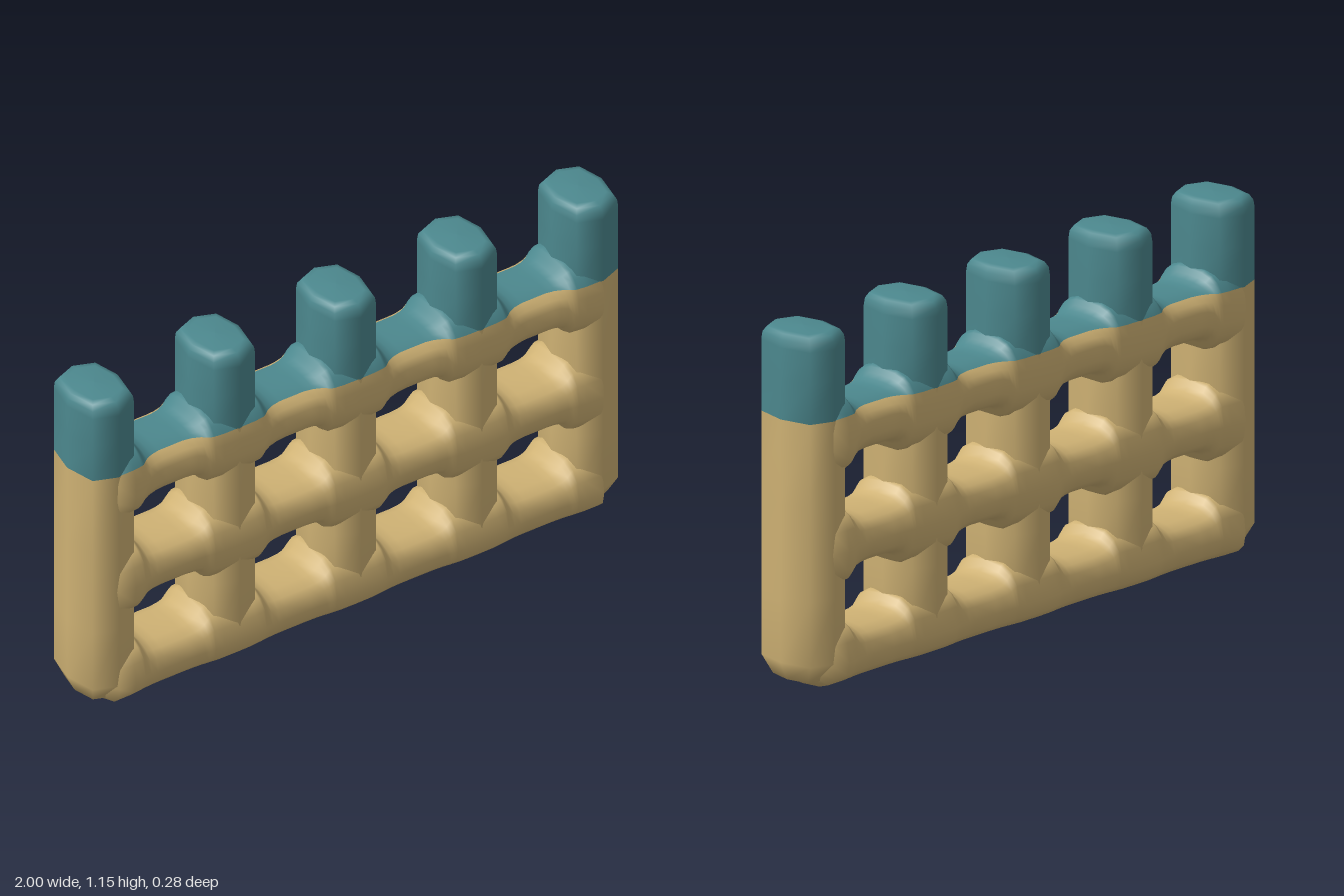
import * as THREE from 'three';

const POSTS = [-0.9, -0.45, 0, 0.45, 0.9];
const PAINT_Y = 0.87; // paint line between the two colours
const POWER = 2.7; // roundness of the squarish oval sections

const bend = (v) => Math.sign(v) * Math.pow(Math.abs(v), 2 / POWER);

// Skin a list of rings; each ring is an array of [x, y, z]
function loft(rings, closed) {
  const n = rings[0].length;
  const index = [];
  for (let i = 0; i < rings.length - 1; i++) {
    for (let j = 0; j < (closed ? n : n - 1); j++) {
      const k = (j + 1) % n;
      const a = i * n + j, b = i * n + k, c = a + n, d = b + n;
      index.push(a, c, b, b, c, d);
    }
  }
  const geo = new THREE.BufferGeometry();
  geo.setAttribute('position', new THREE.Float32BufferAttribute(rings.flat(2), 3));
  geo.setIndex(index);
  geo.computeVertexNormals();
  return geo;
}

// Upright post section from [height, scale] steps
function postGeometry(steps) {
  const sides = 8;
  return loft(steps.map(([y, s]) => Array.from({ length: sides }, (_, j) => {
    const t = (j / sides) * Math.PI * 2;
    return [0.1 * s * bend(Math.cos(t)), y, 0.133 * s * bend(Math.sin(t))];
  })), true);
}

// Stations along a rail: x, corner fillet height and half depth,
// all set by the distance from the nearest post
function railStations() {
  const half = [[0, 0.05, 0.14], [0.06, 0.05, 0.138], [0.09, 0.05, 0.134], [0.1, 0.042, 0.133],
    [0.11, 0.025, 0.131], [0.125, 0.011, 0.129], [0.15, 0.003, 0.127], [0.18, 0, 0.126]];
  const list = [{ x: -0.94, fillet: 0, depth: 0.08, end: true }];
  POSTS.forEach((px, i) => {
    if (i > 0) half.slice(1).reverse().forEach(([d, f, z]) => list.push({ x: px - d, fillet: f, depth: z }));
    list.push({ x: px, fillet: 0.05, depth: 0.139 });
    if (i < POSTS.length - 1) half.slice(1).forEach(([d, f, z]) => list.push({ x: px + d, fillet: f, depth: z }));
  });
  list.push({ x: 0.94, fillet: 0, depth: 0.08, end: true });
  return list;
}

// Rail skin over an arc; range(up) gives its start and end angle
function railGeometry(cy, flareDown, segments, closed, range) {
  return loft(railStations().map(({ x, fillet, depth, end }) => {
    const up = 0.082 + fillet;
    const down = end ? 0.06 : 0.08 + (flareDown ? fillet : 0);
    const [t0, t1] = range(up);
    return Array.from({ length: closed ? segments : segments + 1 }, (_, j) => {
      const t = t0 + (t1 - t0) * (j / segments);
      const s = bend(Math.sin(t));
      return [x, cy + (s > 0 ? up : down) * s, depth * bend(Math.cos(t))];
    });
  }), closed);
}

export function createModel() {
  const model = new THREE.Group();
  model.name = 'lattice';
  const tan = new THREE.MeshStandardMaterial({ color: 0xcfb274 });
  tan.name = 'tan';
  const teal = new THREE.MeshStandardMaterial({ color: 0x4c888e });
  teal.name = 'teal';

  const add = (name, geo, mat, x = 0) => {
    const mesh = new THREE.Mesh(geo, mat);
    mesh.name = name;
    mesh.position.x = x;
    model.add(mesh);
  };

  // Posts: rounded foot, painted top
  const lower = postGeometry([[0.002, 0], [0.03, 0.72], [0.09, 1], [0.3, 1], [0.6, 1], [PAINT_Y, 1]]);
  const upper = postGeometry([[PAINT_Y, 1], [1, 1], [1.1, 1], [1.125, 0.97], [1.142, 0.87], [1.147, 0.7], [1.15, 0]]);
  POSTS.forEach((x) => {
    add('post', lower, tan, x);
    add('postTop', upper, teal, x);
  });

  // Bottom and middle rails
  const full = () => [0, Math.PI * 2];
  add('bottomRail', railGeometry(0.08, false, 16, true, full), tan);
  add('middleRail', railGeometry(0.44, true, 16, true, full), tan);

  // Top rail, divided at the paint line
  const topY = 0.8;
  const cut = (up) => Math.asin(Math.pow((PAINT_Y - topY) / up, POWER / 2));
  add('topRail', railGeometry(topY, true, 14, false, (up) => [Math.PI - cut(up), Math.PI * 2 + cut(up)]), tan);
  add('topRailPaint', railGeometry(topY, true, 8, false, (up) => [cut(up), Math.PI - cut(up)]), teal);

  return model;
}
